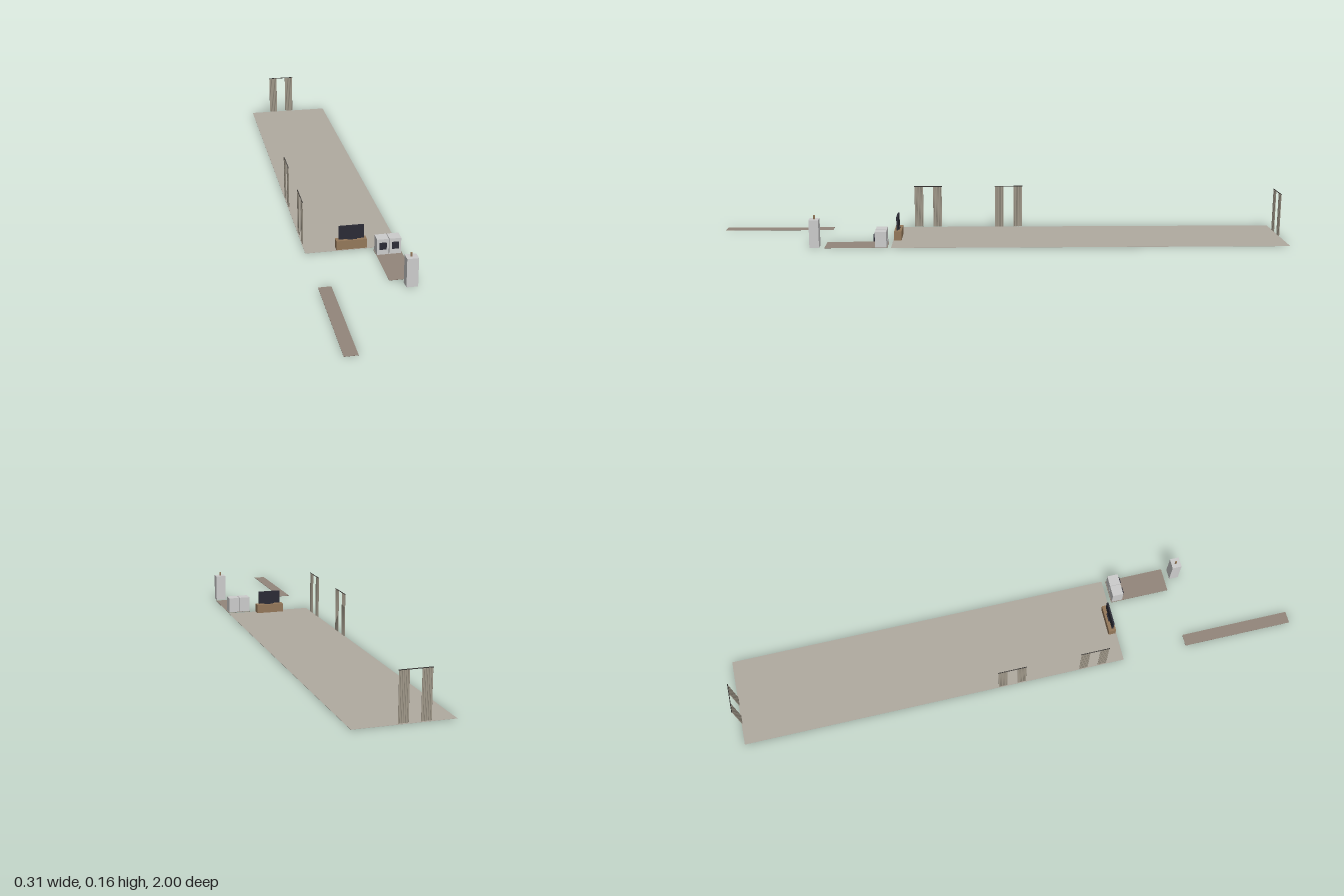
import * as THREE from 'three';

const mat = (name, color) => {
  const m = new THREE.MeshStandardMaterial({ color });
  m.name = name;
  return m;
};

export function createModel() {
  const root = new THREE.Group();
  root.name = 'apartmentLayout';

  const floorGrey = mat('floorGrey', 0xb0aaa0);
  const deckBrown = mat('deckBrown', 0x93867b);
  const darkBrown = mat('darkBrown', 0x63534a);
  const wood = mat('wood', 0x94785a);
  const screen = mat('screen', 0x2b2b35);
  const appliance = mat('appliance', 0xcccccc);
  const curtainCloth = mat('curtainCloth', 0xa39b8c);
  const rodDark = mat('rodDark', 0x3a3836);

  // Box given by its min and max corners
  const box = (name, material, [x0, x1], [y0, y1], [z0, z1], parent = root) => {
    const mesh = new THREE.Mesh(new THREE.BoxGeometry(x1 - x0, y1 - y0, z1 - z0), material);
    mesh.position.set((x0 + x1) / 2, (y0 + y1) / 2, (z0 + z1) / 2);
    mesh.name = name;
    parent.add(mesh);
    return mesh;
  };

  // Flat floors, with darker undersides
  box('mainFloor', floorGrey, [-0.156, 0.156], [0.0005, 0.0012], [-1, 0.375]);
  box('underfloorPanel', darkBrown, [-0.08, 0.08], [0, 0.0005], [-0.96, -0.85]);
  const deck = (name, x, z) => {
    box(name, deckBrown, x, [0.0008, 0.0014], z);
    box(name + 'Underside', darkBrown, x, [0.0003, 0.0008], z);
  };
  deck('utilityFloor', [0.068, 0.154], [0.388, 0.603]);
  deck('balconyFloor', [-0.156, -0.114], [0.607, 1]);

  // Television on a low cabinet
  box('tvCabinet', wood, [-0.052, 0.05], [0, 0.033], [0.346, 0.372]);
  box('tvFoot', screen, [-0.014, 0.018], [0.033, 0.036], [0.354, 0.366]);
  box('tvScreen', screen, [-0.043, 0.041], [0.035, 0.082], [0.358, 0.364]);

  // Two washing machines with dark door panels
  for (const x of [0.07, 0.111]) {
    const washer = new THREE.Group();
    washer.name = 'washer';
    box('washerBody', appliance, [x, x + 0.039], [0, 0.056], [0.391, 0.43], washer);
    box('washerDoor', screen, [x + 0.008, x + 0.031], [0.021, 0.044], [0.43, 0.435], washer);
    root.add(washer);
  }

  // Tall water heater with a pipe stub
  box('heaterBody', appliance, [0.11, 0.147], [0, 0.097], [0.622, 0.655]);
  const pipe = new THREE.Mesh(new THREE.CylinderGeometry(0.0035, 0.0035, 0.013, 12), wood);
  pipe.position.set(0.1275, 0.1035, 0.638);
  pipe.name = 'heaterPipe';
  root.add(pipe);

  // Pair of pleated curtains hanging from a rod, along local x
  const pleat = new THREE.CylinderGeometry(0.0027, 0.0027, 0.15, 8);
  pleat.scale(1, 1, 0.6);
  const curtain = (x, z, turn) => {
    const g = new THREE.Group();
    g.name = 'curtain';
    for (const side of [-1, 1]) {
      for (let i = 0; i < 6; i++) {
        const fold = new THREE.Mesh(pleat, curtainCloth);
        fold.position.set(side * 0.034 + (i - 2.5) * 0.0053, 0.078, 0);
        fold.name = 'curtainFold';
        g.add(fold);
      }
    }
    const rod = new THREE.Mesh(new THREE.CylinderGeometry(0.0014, 0.0014, 0.103, 8), rodDark);
    rod.rotation.z = Math.PI / 2;
    rod.position.y = 0.1545;
    rod.name = 'curtainRod';
    g.add(rod);
    g.position.set(x, 0, z);
    g.rotation.y = turn;
    root.add(g);
  };
  curtain(-0.03, -0.998, 0);
  curtain(-0.153, -0.036, Math.PI / 2);
  curtain(-0.153, 0.26, Math.PI / 2);

  return root;
}
